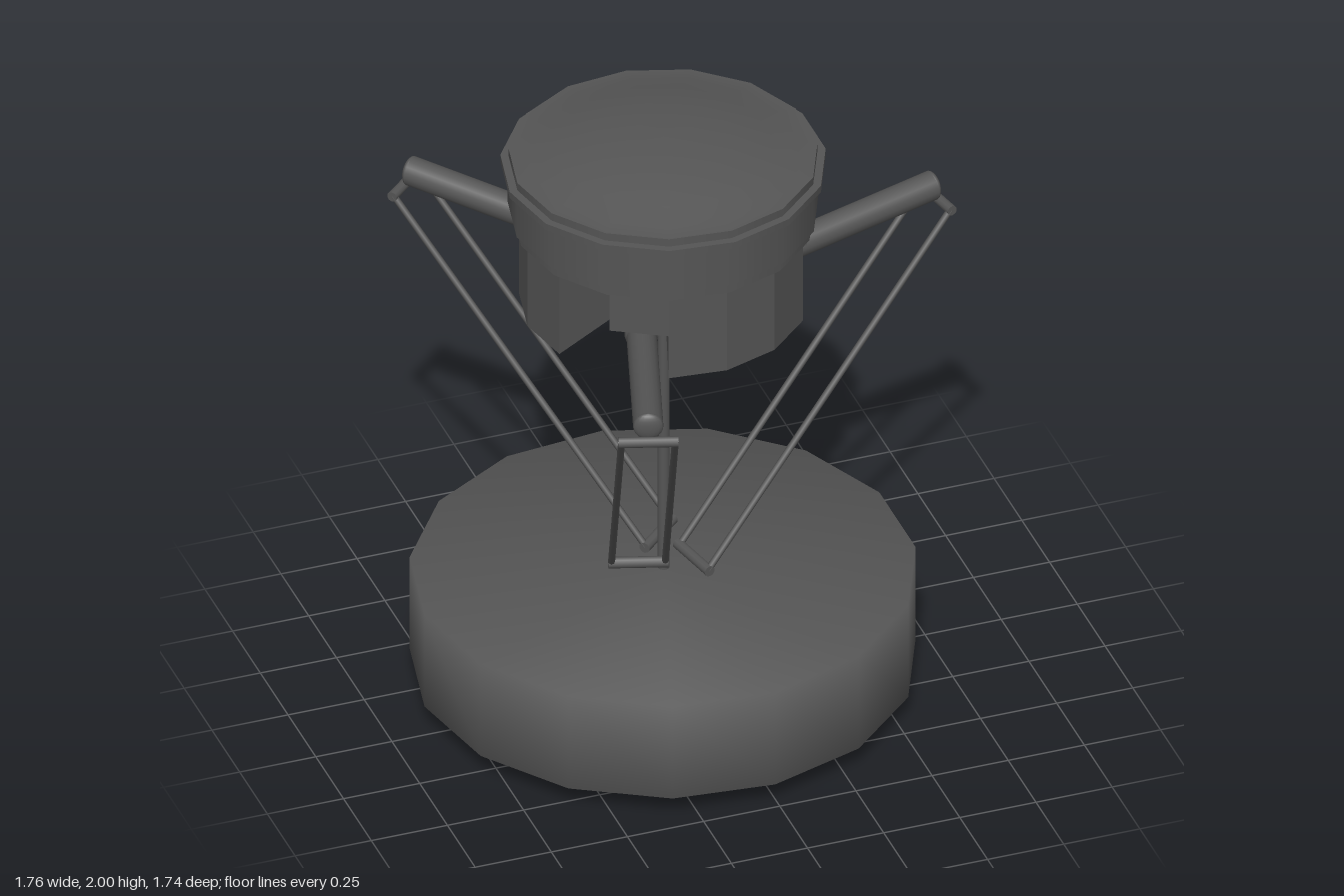
import * as THREE from 'three';
import { ConvexGeometry } from 'three/addons/geometries/ConvexGeometry.js';

const darkGrey = new THREE.MeshStandardMaterial({ color: 0x555555 });
const SIDES = 15;
const rad = THREE.MathUtils.degToRad;

function part(parent, name, geometry) {
  const mesh = new THREE.Mesh(geometry, darkGrey);
  mesh.name = name;
  parent.add(mesh);
  return mesh;
}

// Fifteen-sided turned shape, profile listed from bottom to top
function turned(parent, name, profile) {
  const points = profile.map(([r, y]) => new THREE.Vector2(r, y));
  return part(parent, name, new THREE.LatheGeometry(points, SIDES, -Math.PI / 2));
}

// Round bar between two points
function bar(parent, name, a, b, radius, sides = 10) {
  const from = new THREE.Vector3(...a), to = new THREE.Vector3(...b);
  const dir = to.clone().sub(from);
  const mesh = part(parent, name, new THREE.CylinderGeometry(radius, radius, dir.length(), sides));
  mesh.position.copy(from).add(to).multiplyScalar(0.5);
  mesh.quaternion.setFromUnitVectors(new THREE.Vector3(0, 1, 0), dir.normalize());
  return mesh;
}

// Wedge of the housing between two angles (degrees)
function wedge(parent, name, start, end, bottom, innerBottom) {
  const points = [new THREE.Vector3(0, 1.7, 0), new THREE.Vector3(0, innerBottom, 0)];
  for (let a = start; a <= end; a += 24) {
    const x = 0.447 * Math.cos(rad(a)), z = -0.447 * Math.sin(rad(a));
    points.push(new THREE.Vector3(x, bottom, z), new THREE.Vector3(x, 1.7, z));
  }
  return part(parent, name, new ConvexGeometry(points));
}

// One arm with its pair of rods; local x points outward
function buildArm() {
  const arm = new THREE.Group();
  const side = 0.08, half = 0.083;
  const shoulder = [0.33, 1.49, side], elbow = [0.925, 1.54, side];
  bar(arm, 'upperArm', shoulder, elbow, 0.047, 16);
  part(arm, 'shoulderJoint', new THREE.SphereGeometry(0.053, 16, 12)).position.set(...shoulder);
  const cap = part(arm, 'elbowCap', new THREE.SphereGeometry(0.047, 16, 12));
  cap.position.set(...elbow);
  cap.scale.x = 0.4;
  bar(arm, 'elbowBar', [0.942, 1.492, side - 0.093], [0.942, 1.492, side + 0.093], 0.017);
  bar(arm, 'wristBar', [0.06, 0.468, side - 0.093], [0.06, 0.468, side + 0.093], 0.018);
  for (const s of [-1, 1]) {
    bar(arm, 'forearmRod', [0.06, 0.468, side + s * half], [0.942, 1.492, side + s * half], 0.011, 8);
  }
  return arm;
}

export function createModel() {
  const model = new THREE.Group();
  model.name = 'deltaRobot';
  const body = new THREE.Group();
  body.name = 'robot';
  body.position.set(-0.09, 0, -0.05);
  model.add(body);

  // Round work table
  turned(body, 'table', [[0, 0], [0.67, 0], [0.785, 0.07], [0.785, 0.41], [0, 0.41]]);

  // Head: collar, drum, flange and domed lid
  turned(body, 'collarUnderside', [[0, 1.7], [0.468, 1.7]]);
  turned(body, 'collar', [[0.468, 1.7], [0.468, 1.735]]);
  turned(body, 'drumLedge', [[0.468, 1.735], [0.482, 1.735]]);
  turned(body, 'drum', [[0.482, 1.735], [0.482, 1.885]]);
  turned(body, 'flangeUnderside', [[0.482, 1.885], [0.505, 1.885]]);
  turned(body, 'flangeRim', [[0.505, 1.885], [0.505, 1.908]]);
  turned(body, 'flangeTop', [[0.505, 1.908], [0.48, 1.908]]);
  turned(body, 'lidRim', [[0.48, 1.908], [0.48, 1.935]]);
  turned(body, 'lid', [[0.48, 1.935], [0.425, 1.938], [0.34, 1.963], [0.22, 1.986], [0.1, 1.998], [0, 2]]);

  // Motor housing: lobes, arm recess roofs and the hub between them
  turned(body, 'hub', [[0, 1.46], [0.15, 1.46], [0.15, 1.7]]);
  for (let k = 0; k < 3; k++) {
    const turn = 120 * k;
    wedge(body, 'housingLobe', turn + 12, turn + 84, 1.4, 1.46);
    wedge(body, 'armRecessRoof', turn - 12, turn + 12, 1.555, 1.555);
    const arm = buildArm();
    arm.name = 'arm' + (k + 1);
    arm.rotation.y = rad(turn + 12);
    body.add(arm);
  }

  // Central shaft
  bar(body, 'centralShaft', [0, 0.41, 0], [0, 1.5, 0], 0.019, 12);
  return model;
}
